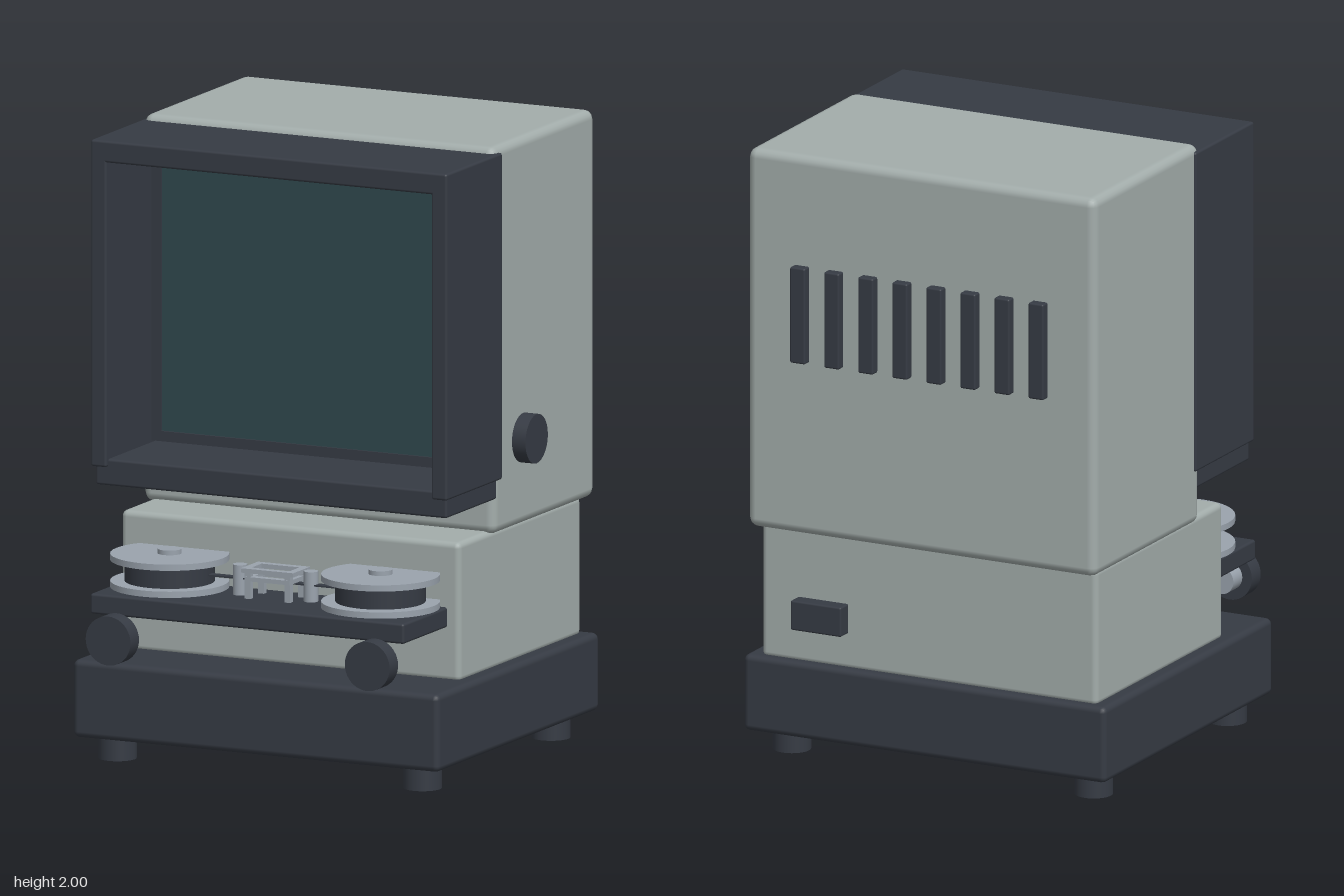
import * as THREE from 'three';
import { RoundedBoxGeometry } from 'three/addons/geometries/RoundedBoxGeometry.js';

const mat = (color) => new THREE.MeshStandardMaterial({ color });

export function createModel() {
  const model = new THREE.Group();
  const shell = mat(0xa3adab), dark = mat(0x363b44), glass = mat(0x2f484d), metal = mat(0x9aa3ad);

  const add = (name, geometry, material, parent = model) => {
    const mesh = new THREE.Mesh(geometry, material);
    mesh.name = name;
    parent.add(mesh);
    return mesh;
  };
  // Box given by its limits on each axis; r rounds the edges
  const box = (name, material, [x0, x1], [y0, y1], [z0, z1], r = 0, parent = model) => {
    const size = [x1 - x0, y1 - y0, z1 - z0];
    const geometry = r ? new RoundedBoxGeometry(...size, 2, r) : new THREE.BoxGeometry(...size);
    const mesh = add(name, geometry, material, parent);
    mesh.position.set((x0 + x1) / 2, (y0 + y1) / 2, (z0 + z1) / 2);
    return mesh;
  };
  // Cylinder centred at a point, lying along the given axis
  const cyl = (name, material, r, length, [x, y, z], axis = 'y', parent = model) => {
    const geometry = new THREE.CylinderGeometry(r, r, length, 40);
    if (axis === 'x') geometry.rotateZ(-Math.PI / 2);
    if (axis === 'z') geometry.rotateX(Math.PI / 2);
    const mesh = add(name, geometry, material, parent);
    mesh.position.set(x, y, z);
    return mesh;
  };
  // Rectangular frame in the XY plane with its back at z = 0
  const frameGeometry = (w, h, border, depth) => {
    const rect = (Type, a, b) => {
      const p = new Type();
      p.moveTo(-a, -b).lineTo(a, -b).lineTo(a, b).lineTo(-a, b).closePath();
      return p;
    };
    const shape = rect(THREE.Shape, w / 2, h / 2);
    shape.holes.push(rect(THREE.Path, w / 2 - border, h / 2 - border));
    return new THREE.ExtrudeGeometry(shape, { depth, bevelEnabled: false });
  };

  // Base and feet
  box('base', dark, [-0.655, 0.635], [0.075, 0.325], [-0.6, 0.54], 0.02);
  for (const x of [-0.55, 0.525])
    for (const z of [0.43, -0.475]) cyl('foot', dark, 0.061, 0.09, [x, 0.045, z]);

  // Housing
  box('lowerBody', shell, [-0.61, 0.585], [0.315, 0.765], [-0.57, 0.288], 0.02);
  box('upperBody', shell, [-0.633, 0.607], [0.755, 2], [-0.625, 0.088], 0.03);

  // Hood around the screen
  const hood = new THREE.Group();
  hood.name = 'hood';
  model.add(hood);
  box('hoodTop', dark, [-0.64, 0.615], [1.91, 1.98], [0.045, 0.44], 0.008, hood);
  box('hoodRightSide', dark, [-0.64, -0.585], [0.93, 1.98], [0.045, 0.44], 0.008, hood);
  box('hoodLeftSide', dark, [0.56, 0.615], [0.93, 1.98], [0.045, 0.44], 0.008, hood);
  box('hoodBottom', dark, [-0.63, 0.607], [0.87, 0.955], [0.07, 0.425], 0.008, hood);

  // Screen with its surround
  add('bezel', frameGeometry(1.105, 0.92, 0.033, 0.09), dark).position.set(-0.012, 1.43, 0.07);
  box('screen', glass, [-0.54, 0.516], [0.99, 1.865], [0.07, 0.153]);

  // Side knob, rear vents and rear switch
  cyl('sideKnob', dark, 0.079, 0.065, [0.622, 1.035, -0.115], 'x');
  for (let i = 0; i < 8; i++) {
    const x = -0.437 + i * 0.1213;
    box('vent', dark, [x - 0.027, x + 0.027], [1.325, 1.64], [-0.655, -0.61], 0.006);
  }
  box('rearSwitch', dark, [0.275, 0.455], [0.435, 0.532], [-0.62, -0.56], 0.006);

  // Film stage with focus knobs underneath
  box('stage', dark, [-0.565, 0.54], [0.49, 0.555], [0.25, 0.593], 0.008);
  for (const x of [-0.47, 0.443]) {
    cyl('focusKnob', dark, 0.079, 0.06, [x, 0.422, 0.626], 'z');
    cyl('focusShaft', metal, 0.045, 0.065, [x, 0.422, 0.568], 'z');
  }

  // Film reels
  for (const x of [-0.386, 0.357]) {
    const reel = new THREE.Group();
    reel.name = 'reel';
    reel.position.set(x, 0, 0.39);
    model.add(reel);
    cyl('lowerFlange', metal, 0.188, 0.02, [0, 0.568, 0], 'y', reel);
    cyl('filmRoll', dark, 0.143, 0.07, [0, 0.612, 0], 'y', reel);
    cyl('upperFlange', metal, 0.188, 0.02, [0, 0.655, 0], 'y', reel);
    cyl('spindle', metal, 0.038, 0.13, [0, 0.615, 0], 'y', reel);
  }

  // Film gate: guide rollers, open frames on legs and the film strip
  for (const x of [-0.138, 0.112]) cyl('guideRoller', metal, 0.023, 0.1, [x, 0.602, 0.39]);
  for (const [y, w] of [[0.638, 0.184], [0.612, 0.16]]) {
    const plate = add('gateFrame', frameGeometry(w, 0.12, 0.025, 0.014), metal);
    plate.rotation.x = -Math.PI / 2;
    plate.position.set(-0.013, y, 0.39);
  }
  for (const x of [-0.083, 0.057])
    for (const z of [0.342, 0.438])
      box('gateLeg', metal, [x - 0.01, x + 0.01], [0.55, 0.64], [z - 0.01, z + 0.01]);
  box('filmStrip', dark, [-0.27, 0.24], [0.606, 0.611], [0.375, 0.405]);

  return model;
}
